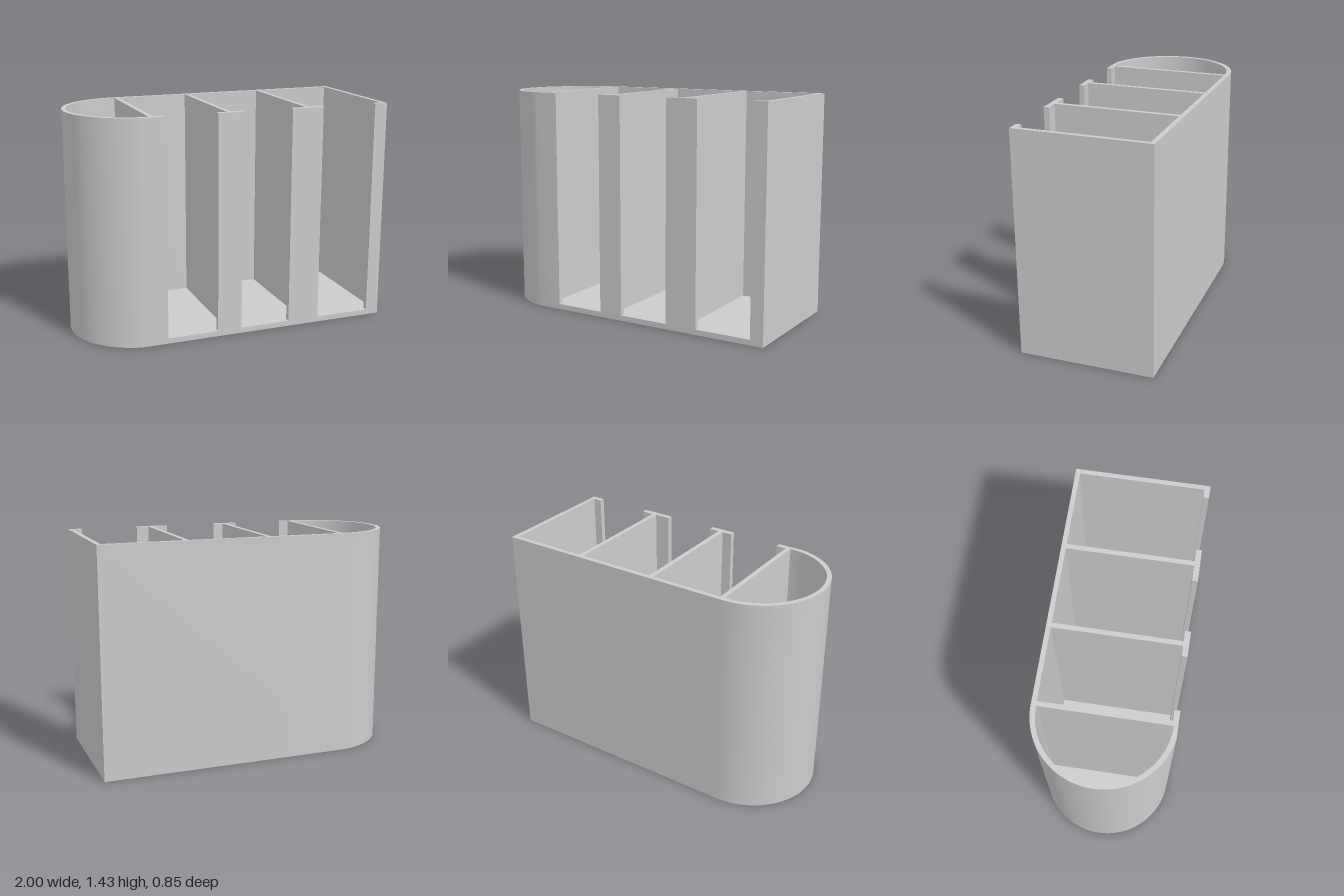
import * as THREE from 'three';
import { toCreasedNormals } from 'three/addons/utils/BufferGeometryUtils.js';

const HEIGHT = 1.43, FLOOR = 0.035;
const HALF = 0.425;             // half depth
const BACK = 0.395;             // inner face of the back wall
const LIP = -0.39;              // inner face of the front lips
const CX = -0.572, CY = -0.003; // centre of the rounded end
const R_OUT = 0.428, R_IN = 0.396;

// Open bays: left lip edge, left wall, right wall, right lip edge
const BAYS = [
  [-0.48, -0.545, -0.085, -0.15],
  [0.01, -0.055, 0.44, 0.34],
  [0.55, 0.47, 0.97, 0.915],
];

// Plan outline (shape y points to the back), with or without the bays cut in
function plan(bays) {
  const s = new THREE.Shape();
  s.moveTo(1, HALF);
  s.lineTo(CX, HALF);
  s.absarc(CX, CY, R_OUT, Math.PI / 2, 1.5 * Math.PI - Math.asin(0.068 / R_OUT), false);
  for (const [a, b, c, d] of bays) {
    const pts = [[a, -HALF], [a, LIP], [b, LIP], [b, BACK], [c, BACK], [c, LIP], [d, LIP], [d, -HALF]];
    for (const [x, y] of pts) s.lineTo(x, y);
  }
  s.lineTo(1, -HALF);
  s.closePath();
  return s;
}

// Extrude a plan upward between two heights
function upright(name, shape, y0, y1, material) {
  const extruded = new THREE.ExtrudeGeometry(shape, { depth: y1 - y0, bevelEnabled: false, curveSegments: 48 });
  extruded.rotateX(-Math.PI / 2).translate(0, y0, 0);
  const mesh = new THREE.Mesh(toCreasedNormals(extruded, Math.PI / 6), material);
  mesh.name = name;
  return mesh;
}

export function createModel() {
  const group = new THREE.Group();
  group.name = 'compartmentHolder';
  const material = new THREE.MeshStandardMaterial({ color: 0xcccccc });

  // Solid base under all compartments
  group.add(upright('floor', plan([]), 0, FLOOR, material));

  // Outer shell, dividers and front lips, with the closed rounded compartment
  const walls = plan(BAYS);
  const round = new THREE.Path();
  round.absarc(CX - 0.003, CY, R_IN, Math.PI / 2, 1.5 * Math.PI, false);
  round.closePath();
  walls.holes.push(round);
  group.add(upright('wallsAndDividers', walls, FLOOR, HEIGHT, material));

  return group;
}
